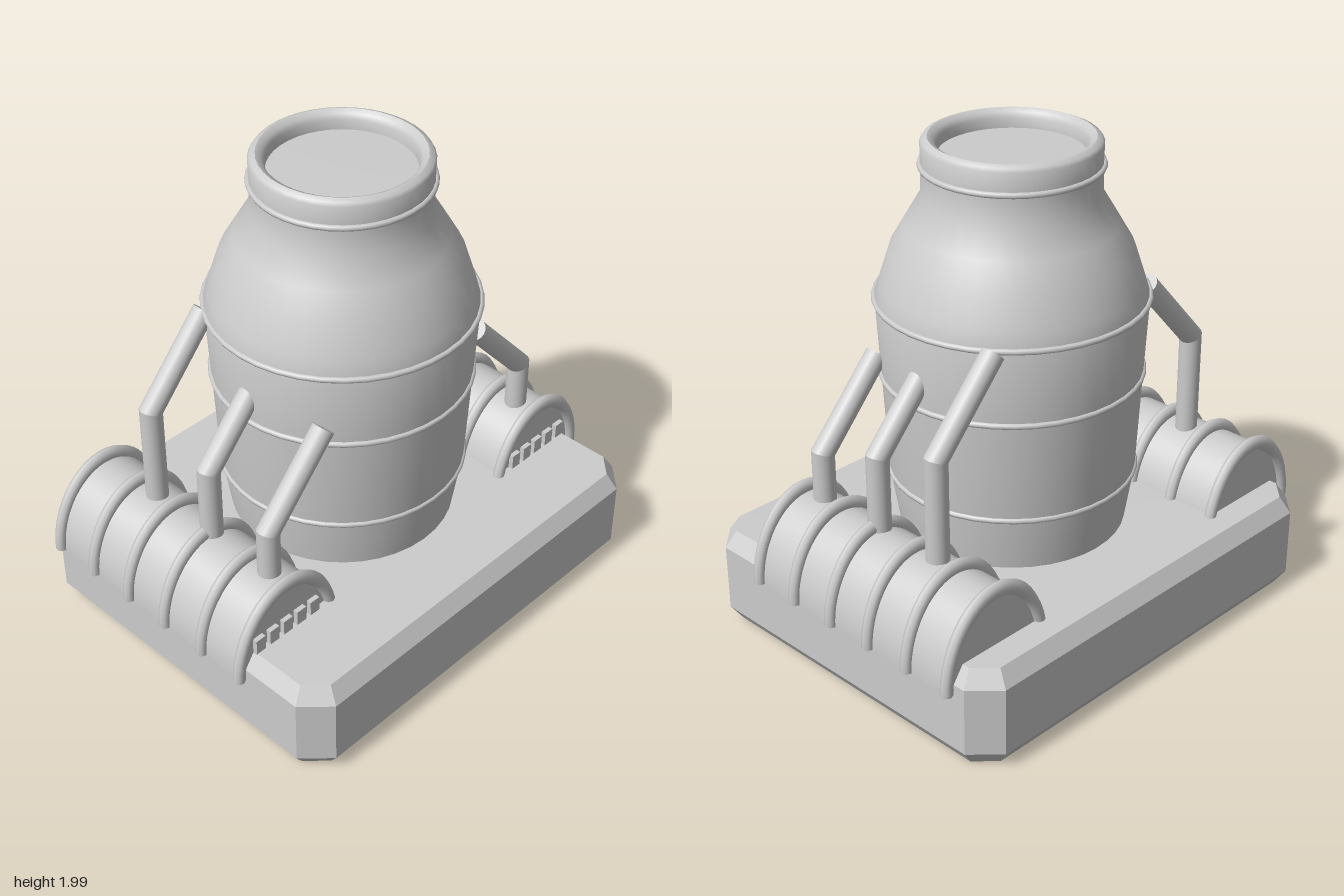
import * as THREE from 'three';
import { toCreasedNormals } from 'three/addons/utils/BufferGeometryUtils.js';

const grey = new THREE.MeshStandardMaterial({ color: 0xcccccc });
grey.name = 'light grey';

function add(parent, name, geometry, x = 0, y = 0, z = 0) {
  const mesh = new THREE.Mesh(geometry, grey);
  mesh.name = name;
  mesh.position.set(x, y, z);
  parent.add(mesh);
  return mesh;
}

// Chamfered slab with cut corners
function baseGeometry() {
  const X = 0.935, Z = 0.775, C = 0.104, bevel = 0.045, rise = 0.066;
  const pts = [[X, Z - C], [X - C, Z], [C - X, Z], [-X, Z - C], [-X, C - Z], [C - X, -Z], [X - C, -Z], [X, C - Z]];
  const shape = new THREE.Shape(pts.map(([x, z]) => new THREE.Vector2(x, z)));
  const g = new THREE.ExtrudeGeometry(shape, {
    depth: 0.412 - 2 * rise, bevelEnabled: true, bevelSegments: 1,
    bevelSize: bevel, bevelOffset: -bevel, bevelThickness: rise
  });
  return g.rotateX(-Math.PI / 2).translate(0, rise, 0);
}

// Bent pipe: two cylinders whose meeting ends are sheared onto the mitre plane
function addPipe(parent, s, z, elbowY) {
  const pipe = new THREE.Group();
  pipe.name = 'bentPipe';
  pipe.position.set(s * 0.709, elbowY, z);
  const angle = 0.74, r = 0.045, k = Math.tan(angle / 2);
  const part = (length, yMid, slope) => {
    const g = new THREE.CylinderGeometry(r, r, length, 16).translate(0, yMid, 0);
    const p = g.attributes.position;
    for (let i = 0; i < p.count; i++) {
      if (Math.abs(p.getY(i)) < 1e-5) p.setY(i, slope * p.getX(i));
    }
    return g;
  };
  const low = elbowY - 0.5;
  add(pipe, 'pipeRiser', part(low, -low / 2, s * k));
  add(pipe, 'pipeArm', part(0.43, 0.215, -s * k)).rotation.z = s * angle;
  parent.add(pipe);
}

// Half-oval tank with hoops and a front vent
function addTank(parent, s) {
  const tank = new THREE.Group();
  tank.name = s > 0 ? 'leftTank' : 'rightTank';
  tank.position.set(s * 0.73, 0.32, 0);
  const shape = new THREE.Shape();
  shape.absellipse(0, 0, 0.237, 0.31, 0, Math.PI, false);
  shape.closePath();
  const body = new THREE.ExtrudeGeometry(shape, { depth: 1.03, bevelEnabled: false, curveSegments: 24 });
  add(tank, 'tankBody', toCreasedNormals(body, 0.6), 0, 0, -0.62);

  const hoop = new THREE.TorusGeometry(0.241, 0.024, 8, 24, Math.PI).scale(1, 1.34, 1);
  const foot = new THREE.CircleGeometry(0.024, 8).rotateX(Math.PI / 2);
  for (let i = 0; i < 6; i++) {
    const z = 0.413 - i * 0.2066;
    add(tank, 'tankHoop', hoop, 0, 0, z);
    for (const f of [-1, 1]) add(tank, 'hoopFoot', foot, f * 0.241, 0, z);
  }
  const slat = new THREE.BoxGeometry(0.046, 0.075, 0.03);
  for (let i = -2; i <= 2; i++) add(tank, 'ventSlat', slat, i * 0.07, 0.118, 0.415);
  parent.add(tank);
}

export function createModel() {
  const model = new THREE.Group();
  model.name = 'tower';
  add(model, 'base', baseGeometry());

  // Barrel with shoulder, neck, rounded lip and recessed top
  const profile = [
    [0.45, 0.40], [0.487, 0.64], [0.508, 1.05], [0.525, 1.365], [0.505, 1.43], [0.463, 1.56],
    [0.405, 1.66], [0.34, 1.77], [0.338, 1.88], [0.34, 1.97], [0.332, 1.983], [0.312, 1.992],
    [0.29, 1.98], [0.28, 1.96], [0.278, 1.92], [0, 1.92]
  ].map(([r, y]) => new THREE.Vector2(r, y));
  add(model, 'barrel', toCreasedNormals(new THREE.LatheGeometry(profile, 40), 0.65));

  // Raised bands round the barrel
  for (const [r, y] of [[0.485, 0.64], [0.508, 1.055], [0.525, 1.365], [0.34, 1.885]]) {
    add(model, 'barrelBand', new THREE.TorusGeometry(r, 0.012, 8, 40).rotateX(Math.PI / 2), 0, y, 0);
  }

  for (const s of [-1, 1]) {
    addTank(model, s);
    addPipe(model, s, 0.312, 0.825);
    addPipe(model, s, 0, 0.93);
    addPipe(model, s, -0.312, 1.04);
  }
  return model;
}
